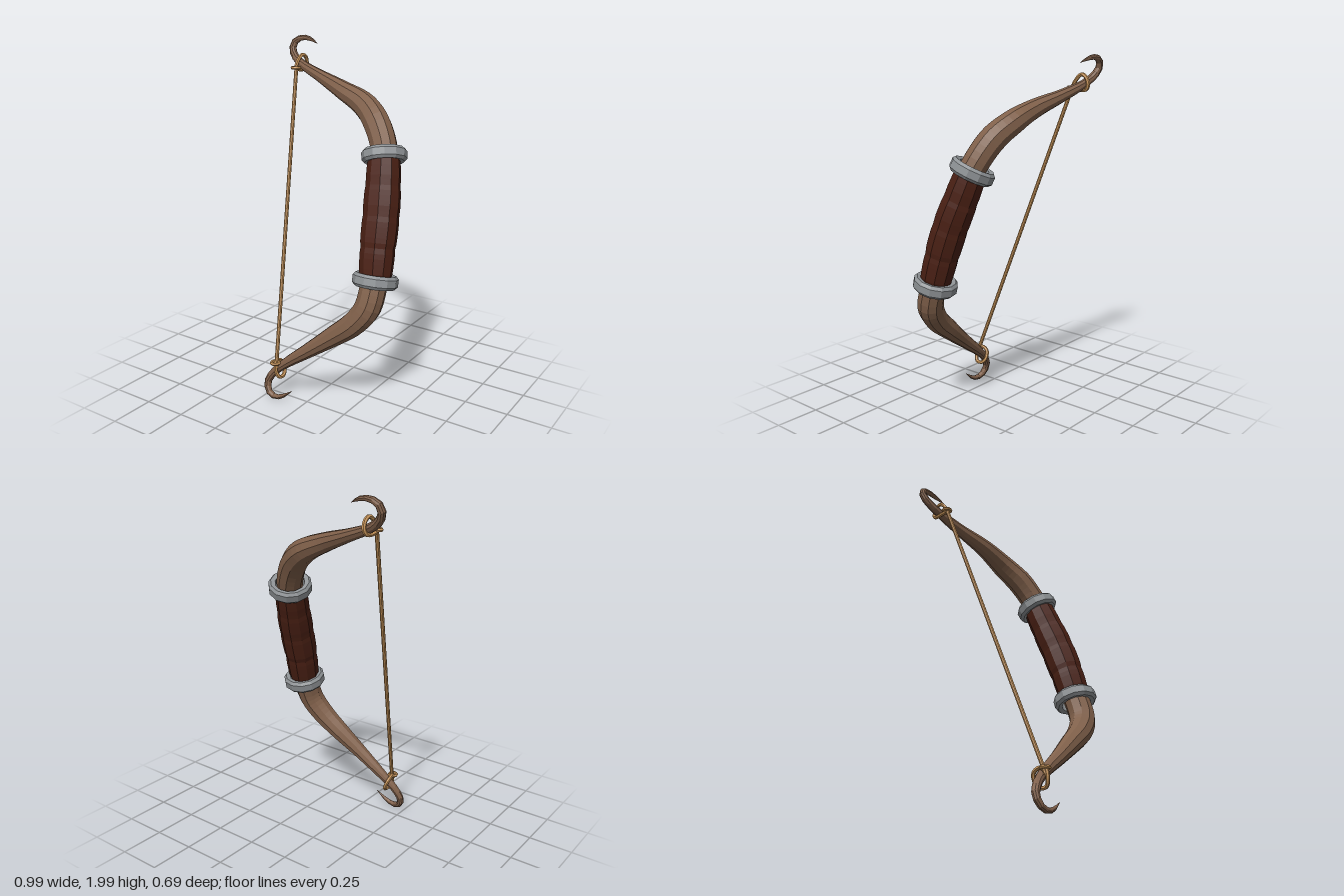
import * as THREE from 'three';

const material = (color) =>
  new THREE.MeshStandardMaterial({ color, flatShading: true, side: THREE.DoubleSide });

const wood = material(0x80604a);
const leather = material(0x4a2014);
const metal = material(0x8f9396);
const cord = material(0xc8955a);

const curveOf = (points, closed = false) =>
  new THREE.CatmullRomCurve3(points.map((p) => new THREE.Vector3(p[0], p[1], p[2])), closed);

// Tube whose radius varies along its path; radiusAt takes the curve parameter 0..1.
function taperedTube(curve, segments, sides, radiusAt) {
  const geometry = new THREE.TubeGeometry(curve, segments, 1, sides);
  const pos = geometry.attributes.position;
  const v = new THREE.Vector3();
  for (let i = 0; i <= segments; i++) {
    const centre = curve.getPointAt(i / segments);
    const radius = radiusAt(curve.getUtoTmapping(i / segments));
    for (let j = 0; j <= sides; j++) {
      const k = i * (sides + 1) + j;
      v.fromBufferAttribute(pos, k).sub(centre).multiplyScalar(radius).add(centre);
      pos.setXYZ(k, v.x, v.y, v.z);
    }
  }
  geometry.computeVertexNormals();
  return geometry;
}

// Rows are [x, y, z, radius]
function limb(rows) {
  const radiusAt = (t) => {
    const s = t * (rows.length - 1);
    const i = Math.min(Math.floor(s), rows.length - 2);
    return THREE.MathUtils.lerp(rows[i][3], rows[i + 1][3], s - i);
  };
  return taperedTube(curveOf(rows), 36, 10, radiusAt);
}

export function createModel() {
  const group = new THREE.Group();
  const add = (name, geometry, mat, parent = group) => {
    const mesh = new THREE.Mesh(geometry, mat);
    mesh.name = name;
    parent.add(mesh);
    return mesh;
  };

  // Curved limbs ending in pointed hooks
  add('upperLimb', limb([
    [0.315, 1.34, -0.03, 0.072], [0.285, 1.45, -0.075, 0.073], [0.205, 1.575, -0.125, 0.075],
    [0.10, 1.655, -0.17, 0.068], [-0.055, 1.72, -0.195, 0.052], [-0.23, 1.78, -0.24, 0.035],
    [-0.38, 1.835, -0.273, 0.025], [-0.445, 1.873, -0.292, 0.023], [-0.48, 1.92, -0.312, 0.021],
    [-0.468, 1.963, -0.324, 0.019], [-0.42, 1.984, -0.33, 0.016], [-0.36, 1.978, -0.325, 0.012],
    [-0.303, 1.955, -0.308, 0.001],
  ]), wood);
  add('lowerLimb', limb([
    [0.365, 0.86, 0.12, 0.072], [0.37, 0.74, 0.165, 0.073], [0.355, 0.645, 0.195, 0.073],
    [0.285, 0.55, 0.218, 0.067], [0.17, 0.455, 0.235, 0.057], [0.035, 0.35, 0.257, 0.043],
    [-0.145, 0.21, 0.278, 0.027], [-0.207, 0.148, 0.292, 0.023], [-0.236, 0.09, 0.305, 0.021],
    [-0.222, 0.043, 0.318, 0.019], [-0.175, 0.022, 0.325, 0.016], [-0.12, 0.04, 0.323, 0.012],
    [-0.058, 0.086, 0.315, 0.001],
  ]), wood);

  // Bulging leather grip, pinched between four wraps
  const gripCurve = curveOf([[0.37, 0.8, 0.14], [0.358, 0.95, 0.10], [0.343, 1.12, 0.045],
    [0.32, 1.27, -0.01], [0.295, 1.41, -0.06]]);
  add('grip', taperedTube(gripCurve, 24, 10, (t) => {
    const across = Math.abs(((t * 4) % 1) - 0.5) * 2;
    return 0.087 + 0.012 * Math.sin(Math.PI * t) - 0.007 * across ** 6;
  }), leather);

  // Bevelled metal collars at both ends of the grip
  const collarProfile = [[0.083, -0.03], [0.108, -0.036], [0.122, -0.02], [0.122, 0.02],
    [0.108, 0.036], [0.083, 0.03], [0.083, -0.03]].map(([x, y]) => new THREE.Vector2(x, y));
  const collar = (name, centre, axis) => {
    const mesh = add(name, new THREE.LatheGeometry(collarProfile, 12), metal);
    mesh.position.set(...centre);
    mesh.quaternion.setFromUnitVectors(
      new THREE.Vector3(0, 1, 0), new THREE.Vector3(...axis).normalize());
  };
  collar('upperCollar', [0.293, 1.415, -0.064], [-0.28, 1, -0.38]);
  collar('lowerCollar', [0.37, 0.79, 0.14], [-0.02, 1, -0.27]);

  // Bowstring
  const top = new THREE.Vector3(-0.382, 1.835, -0.212);
  const bottom = new THREE.Vector3(-0.167, 0.2, 0.315);
  add('bowstring', new THREE.TubeGeometry(new THREE.LineCurve3(top, bottom), 1, 0.011, 8), cord);

  // Loops around the limbs, and the small coils that tie them to the string
  const loop = (name, points) =>
    add(name, new THREE.TubeGeometry(curveOf(points, true), 28, 0.011, 6, true), cord);
  loop('upperLoop', [[-0.385, 1.82, -0.21], [-0.383, 1.868, -0.235], [-0.38, 1.892, -0.27],
    [-0.378, 1.875, -0.3], [-0.38, 1.835, -0.312], [-0.385, 1.81, -0.295], [-0.388, 1.808, -0.25]]);
  loop('lowerLoop', [[-0.17, 0.23, 0.315], [-0.162, 0.18, 0.322], [-0.15, 0.145, 0.305],
    [-0.148, 0.145, 0.27], [-0.16, 0.17, 0.246], [-0.178, 0.215, 0.25], [-0.18, 0.235, 0.285]]);
  const coil = (name, centre) => {
    const mesh = add(name, new THREE.TorusGeometry(0.021, 0.01, 6, 14), cord);
    mesh.position.set(...centre);
    mesh.rotation.x = Math.PI / 2;
  };
  coil('upperCoil', [-0.383, 1.822, -0.207]);
  coil('lowerCoil', [-0.172, 0.232, 0.315]);

  return group;
}
